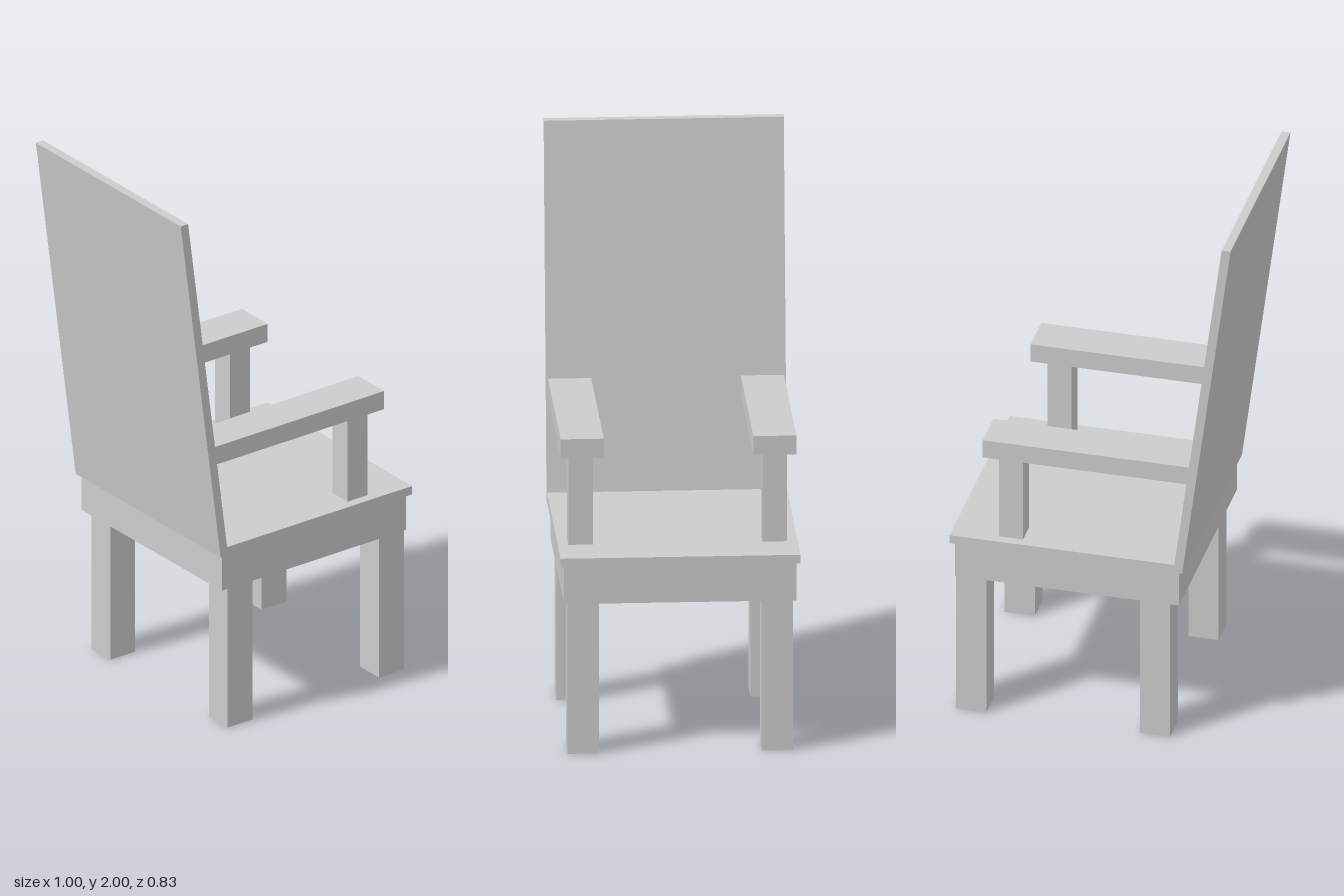
import * as THREE from 'three';

export function createModel() {
  const group = new THREE.Group();
  const material = new THREE.MeshStandardMaterial({ color: 0xcccccc, flatShading: true });

  const add = (name, geometry) => {
    const mesh = new THREE.Mesh(geometry, material);
    mesh.name = name;
    group.add(mesh);
    return mesh;
  };

  // Box given by its limits on each axis
  const box = (name, [x0, x1], [y0, y1], [z0, z1]) => {
    const mesh = add(name, new THREE.BoxGeometry(x1 - x0, y1 - y0, z1 - z0));
    mesh.position.set((x0 + x1) / 2, (y0 + y1) / 2, (z0 + z1) / 2);
  };

  // Seat board on its apron
  box('seat', [-0.315, 0.5], [0.677, 0.709], [-0.415, 0.415]);
  box('apron', [-0.315, 0.483], [0.54, 0.677], [-0.402, 0.402]);

  // Leaning back panel, seen in profile and extruded across the chair
  const profile = new THREE.Shape([
    new THREE.Vector2(-0.33, 0.677),
    new THREE.Vector2(-0.298, 0.677),
    new THREE.Vector2(-0.471, 2),
    new THREE.Vector2(-0.503, 2),
  ]);
  const panel = new THREE.ExtrudeGeometry(profile, { depth: 0.83, bevelEnabled: false });
  panel.translate(0, 0, -0.415);
  add('backrest', panel);

  // Legs, arm posts and armrests on both sides
  for (const [side, s] of [['left', -1], ['right', 1]]) {
    const across = (inner, outer) => (s > 0 ? [inner, outer] : [-outer, -inner]);
    box(`${side}BackLeg`, [-0.281, -0.173], [0, 0.54], across(0.282, 0.39));
    box(`${side}FrontLeg`, [0.375, 0.483], [0, 0.54], across(0.282, 0.39));
    box(`${side}ArmPost`, [0.247, 0.333], [0.709, 1.036], across(0.293, 0.379));
    box(`${side}Armrest`, [-0.352, 0.384], [1.036, 1.105], across(0.259, 0.408));
  }

  return group;
}
